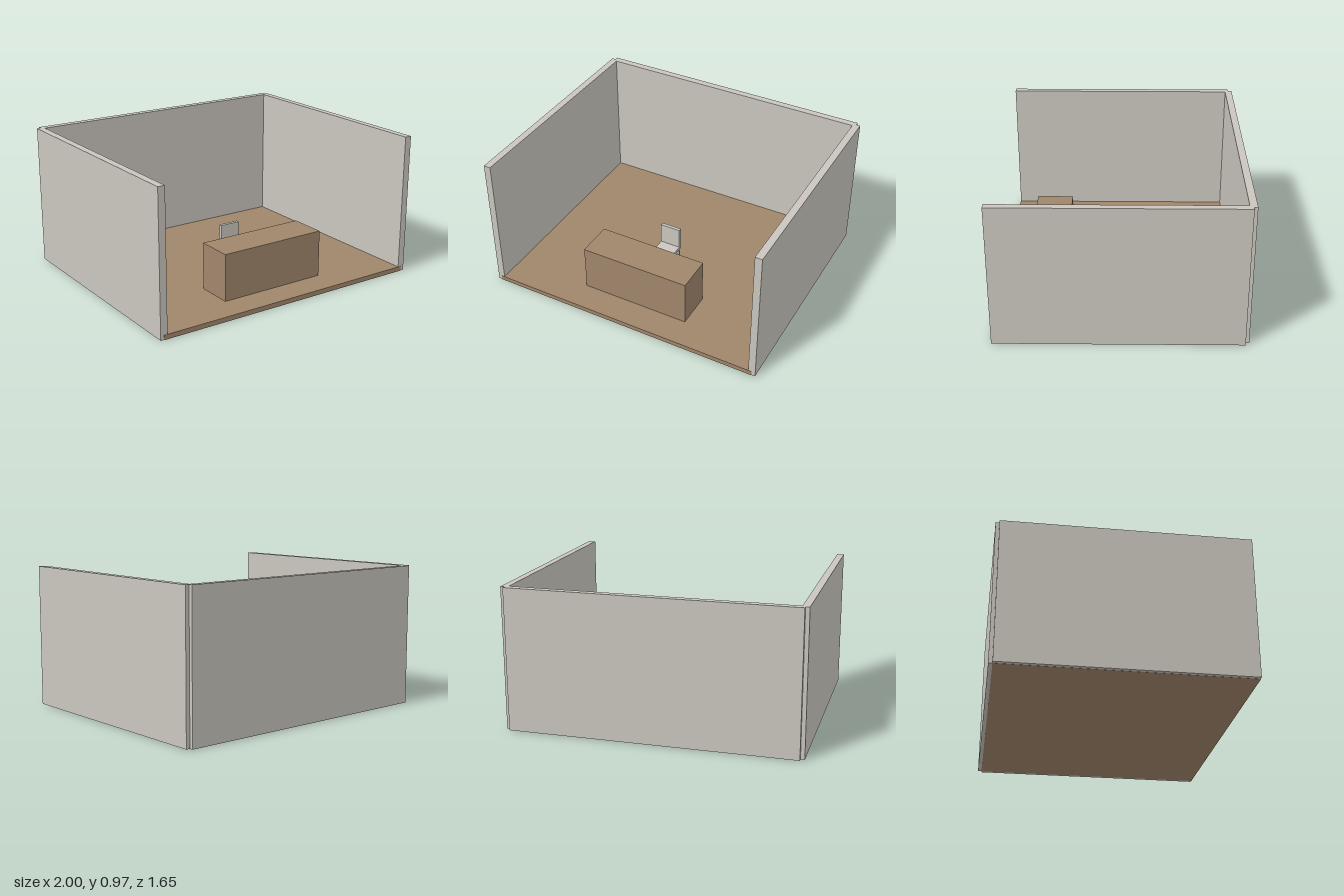
import * as THREE from 'three';

const wood = new THREE.MeshStandardMaterial({ name: 'woodBrown', color: 0xa0866c });
const plaster = new THREE.MeshStandardMaterial({ name: 'plasterGrey', color: 0xcac6be });

// Box given by its [min, max] extent on each axis
function slab(name, material, [x0, x1], [y0, y1], [z0, z1]) {
  const mesh = new THREE.Mesh(new THREE.BoxGeometry(x1 - x0, y1 - y0, z1 - z0), material);
  mesh.name = name;
  mesh.position.set((x0 + x1) / 2, (y0 + y1) / 2, (z0 + z1) / 2);
  return mesh;
}

export function createModel() {
  const room = new THREE.Group();
  room.name = 'room';
  const floorTop = 0.0325;
  const wallTop = 0.975;

  // Floor and the three walls; the front stays open
  room.add(
    slab('floor', wood, [-0.975, 0.975], [0, floorTop], [-0.8, 0.825]),
    slab('backWall', plaster, [-0.973, 0.973], [0.001, wallTop], [-0.825, -0.776]),
    slab('rightWall', plaster, [-1, -0.951], [0.001, wallTop], [-0.8, 0.823]),
    slab('leftWall', plaster, [0.951, 1], [0.001, wallTop], [-0.8, 0.823])
  );

  // Solid counter desk
  room.add(slab('desk', wood, [-0.39, 0.388], [floorTop, 0.358], [0.367, 0.625]));

  // Chair behind the desk
  const chair = new THREE.Group();
  chair.name = 'chair';
  chair.add(
    slab('seat', plaster, [-0.073, 0.073], [0.165, 0.19], [0.095, 0.24]),
    slab('backrest', plaster, [-0.073, 0.073], [0.18, 0.34], [0.094, 0.118])
  );
  for (const x of [-0.062, 0.062]) {
    for (const z of [0.107, 0.228]) {
      chair.add(slab('chairLeg', plaster, [x - 0.008, x + 0.008], [floorTop, 0.17], [z - 0.008, z + 0.008]));
    }
  }
  room.add(chair);
  return room;
}
